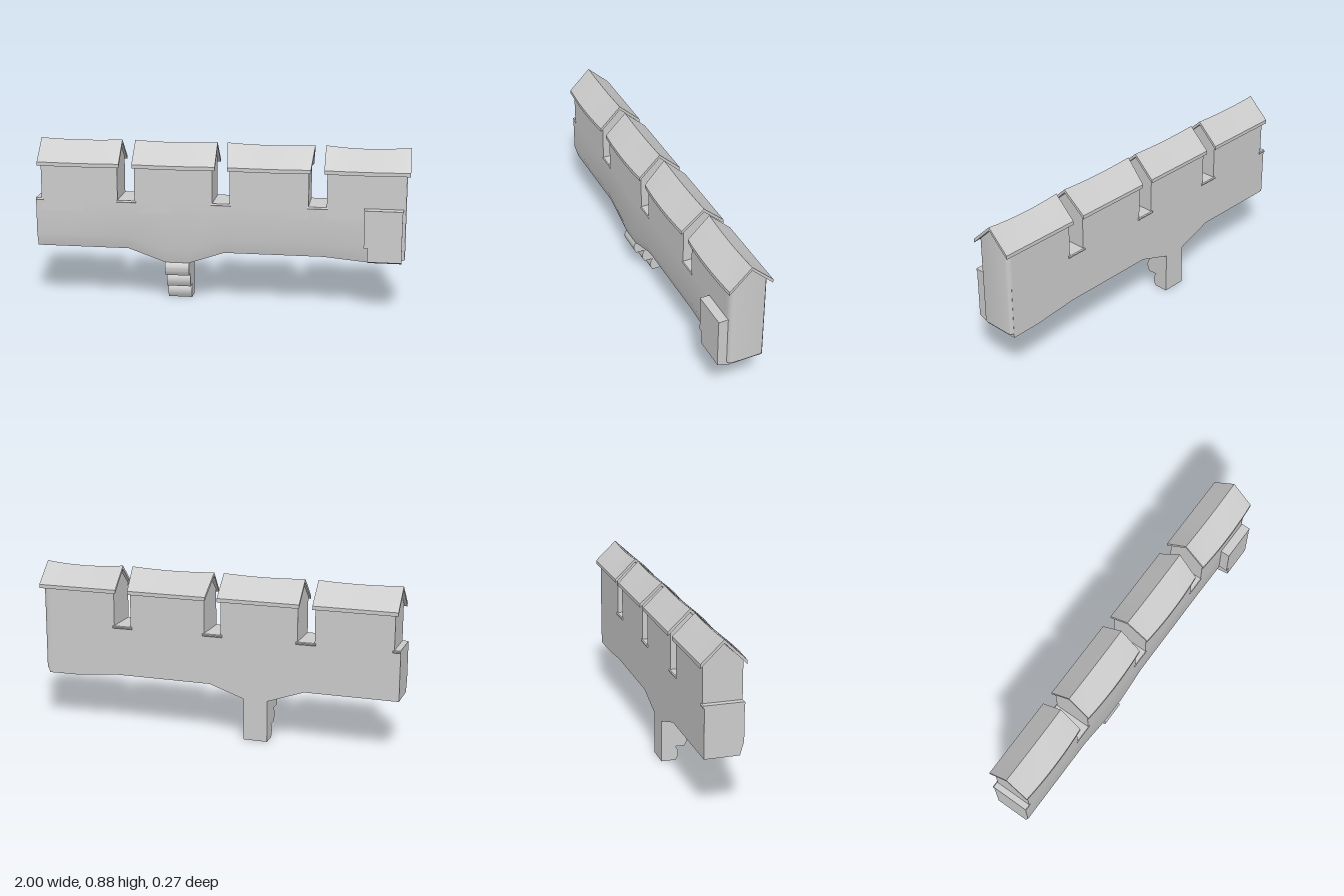
import * as THREE from 'three';
import { toCreasedNormals } from 'three/addons/utils/BufferGeometryUtils.js';

const material = new THREE.MeshStandardMaterial({ color: 0xcccccc });
const BACK = -0.115, FRONT = 0.085, RIDGE = -0.015;

// Skins closed [z, y] profiles (counter-clockwise, z to the right) placed along x.
function loft(name, sections) {
  const pos = [];
  const put = (x, p) => pos.push(x, p[1], p[0]);
  const n = sections[0].profile.length;
  for (let s = 0; s < sections.length - 1; s++) {
    const A = sections[s], B = sections[s + 1];
    for (let i = 0; i < n; i++) {
      const j = (i + 1) % n;
      const a = [A.xs ? A.xs[i] : A.x, A.profile[i]], b = [A.xs ? A.xs[j] : A.x, A.profile[j]];
      const d = [B.xs ? B.xs[i] : B.x, B.profile[i]], c = [B.xs ? B.xs[j] : B.x, B.profile[j]];
      for (const v of [a, d, c, a, c, b]) put(v[0], v[1]);
    }
  }
  const cap = (S, flip) => {
    const pts = S.profile.map(p => new THREE.Vector2(p[0], p[1]));
    for (const f of THREE.ShapeUtils.triangulateShape(pts, [])) {
      for (const i of flip ? [f[2], f[1], f[0]] : f) put(S.xs ? S.xs[i] : S.x, S.profile[i]);
    }
  };
  cap(sections[0], false);
  cap(sections[sections.length - 1], true);
  const geo = new THREE.BufferGeometry();
  geo.setAttribute('position', new THREE.Float32BufferAttribute(pos, 3));
  const mesh = new THREE.Mesh(toCreasedNormals(geo, 0.5), material);
  mesh.name = name;
  return mesh;
}

const prism = (name, x0, x1, profile) => loft(name, [{ x: x0, profile }, { x: x1, profile }]);

// Gabled block outline, narrowed by inset on both faces
const gable = (base, inset = 0) => [
  [BACK + inset, base], [FRONT - inset, base],
  [FRONT - inset, 0.762 + inset * 0.9], [RIDGE, 0.854], [BACK + inset, 0.762 + inset * 0.9]
];

// Thin chevron roof with a sagging ridge and slightly bowed front eave
function roof(x0, x1, sag, flare) {
  const sections = [];
  const mid = (x0 + x1) / 2;
  for (let i = 0; i <= 10; i++) {
    const t = i / 10, bow = 4 * t * (1 - t), dip = sag * bow;
    const x = x0 + (x1 - x0) * t;
    const eave = 0.1 + 0.01 * bow;
    const low = mid + (x - mid) * (1 - flare);
    sections.push({
      xs: [low, low, x, low, low, x],
      profile: [
        [eave, 0.745], [eave, 0.765], [RIDGE, 0.876 - dip],
        [-0.132, 0.765], [-0.132, 0.745], [RIDGE, 0.858 - dip]
      ]
    });
  }
  return loft('roof', sections);
}

export function createModel() {
  const model = new THREE.Group();
  model.name = 'battlementWall';

  // Main wall: stations of [x, upper chamfer line, underside]
  const stations = [
    [-1, 0.365, 0.295], [-0.5, 0.365, 0.295], [-0.3, 0.3, 0.225], [-0.17, 0.3, 0.225],
    [0.02, 0.365, 0.29], [0.55, 0.365, 0.29], [0.8, 0.35, 0.268], [0.96, 0.35, 0.266]
  ];
  model.add(loft('wall', stations.map(([x, up, low]) => ({
    x, profile: [[BACK, low], [0.065, low], [FRONT, up], [FRONT, 0.557], [BACK, 0.557]]
  }))));

  // Merlons, each with its own roof: [body x0, x1, roof x0, x1, sag, flare]
  const merlons = [
    [-0.968, -0.552, -0.985, -0.54, 0.007, 0],
    [-0.46, -0.04, -0.47, -0.025, 0.007, 0],
    [0.052, 0.47, 0.028, 0.494, 0.008, 0.06],
    [0.565, 0.955, 0.55, 0.996, 0.013, 0]
  ];
  for (const [x0, x1, r0, r1, sag, flare] of merlons) {
    const merlon = new THREE.Group();
    merlon.name = 'merlon';
    merlon.add(prism('merlonBody', x0, x1, gable(0.5)), roof(r0, r1, sag, flare));
    model.add(merlon);
  }

  // End pier with rounded outer corners, running the full wall height
  model.add(loft('endPier', [[0.93, 0], [0.957, 0], [0.968, 0.004], [0.976, 0.011], [0.98, 0.023]]
    .map(([x, inset]) => ({ x, profile: gable(0.29, inset) }))));

  // Sills between the merlons
  for (const [x0, x1] of [[-1, -0.96], [-0.56, -0.452], [-0.048, 0.06], [0.462, 0.573]]) {
    model.add(prism('sill', x0, x1, [
      [-0.118, 0.551], [0.086, 0.551], [0.089, 0.556], [0.086, 0.565],
      [-0.118, 0.565], [-0.123, 0.561], [-0.123, 0.555]
    ]));
  }

  // Buttress on the front face, with a sloped foot, side lip and thin cap
  model.add(prism('buttress', 0.785, 0.962, [[0.065, 0.266], [0.134, 0.29], [0.134, 0.555], [0.065, 0.555]]));
  model.add(prism('buttressLip', 0.765, 0.785, [[0.065, 0.365], [0.134, 0.365], [0.134, 0.555], [0.065, 0.555]]));
  model.add(prism('buttressCap', 0.763, 0.965, [[0.065, 0.554], [0.135, 0.554], [0.135, 0.566], [0.065, 0.566]]));

  // Corbel: three stepped tiers with rounded noses
  const corbel = [[BACK, 0]];
  [[-0.038, 0, 0.076], [0.01, 0.076, 0.152], [0.06, 0.152, 0.228]].forEach(([z, y0, y1]) => {
    for (let i = 0; i <= 8; i++) {
      const t = i / 8;
      corbel.push([z + 0.014 * Math.sin(Math.PI * t), y0 + (y1 - y0) * t]);
    }
  });
  corbel.push([BACK, 0.228]);
  model.add(prism('corbel', -0.3, -0.17, corbel));

  return model;
}
